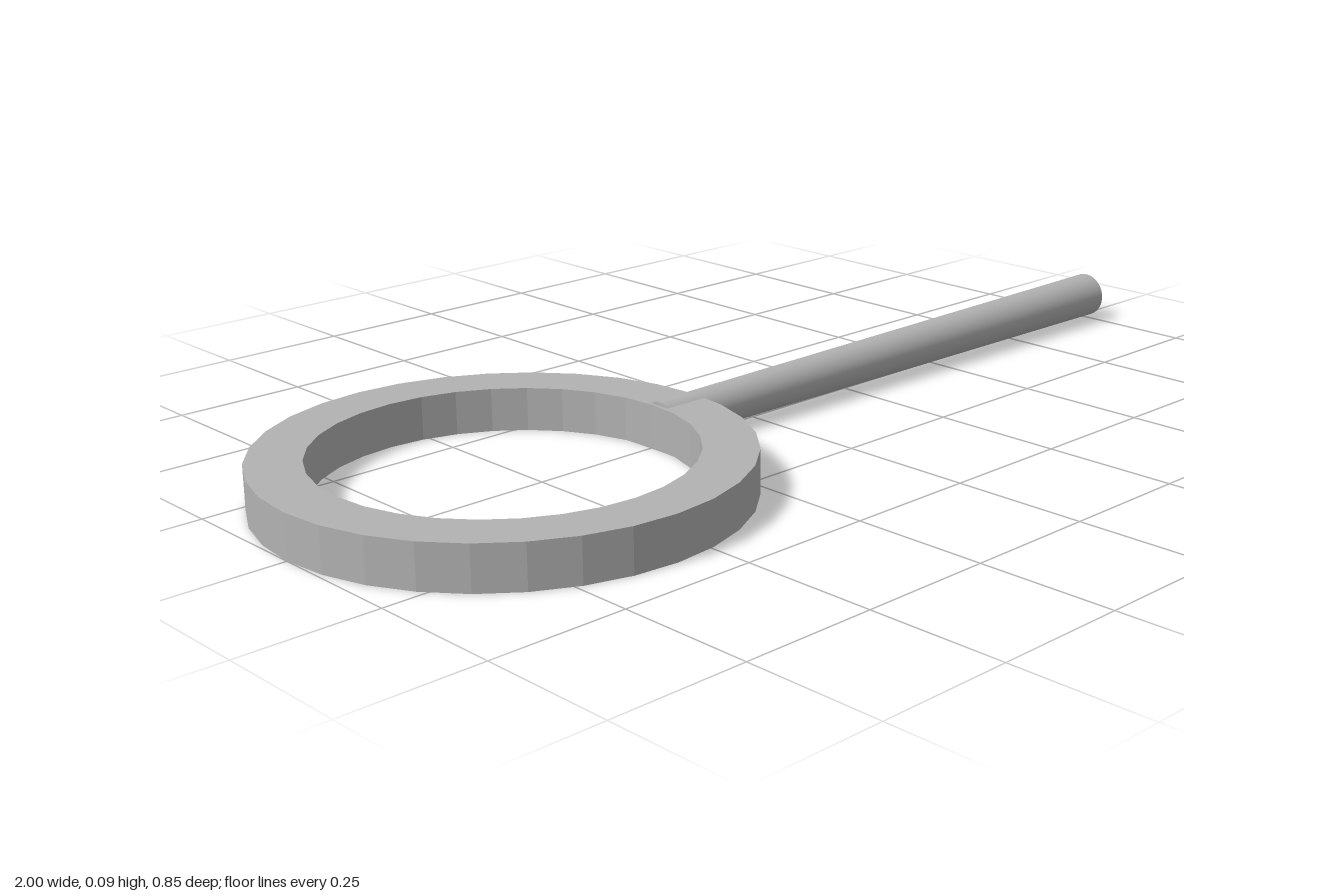
import * as THREE from 'three';

export function createModel() {
  const group = new THREE.Group();
  const grey = new THREE.MeshStandardMaterial({ color: 0xb2b2b2 });
  const facetedGrey = grey.clone();
  facetedGrey.flatShading = true;
  grey.name = 'smoothGrey';
  facetedGrey.name = 'facetedGrey';

  // Flat ring with a rectangular section, 32 facets
  const outer = 0.424, inner = 0.328, height = 0.08;
  const section = [[inner, 0], [outer, 0], [outer, height], [inner, height], [inner, 0]]
    .map(([r, y]) => new THREE.Vector2(r, y));
  const ring = new THREE.Mesh(new THREE.LatheGeometry(section, 32), facetedGrey);
  ring.name = 'ring';
  ring.position.x = -0.576;
  group.add(ring);

  // Slightly tapered round handle, running from the ring's inner edge to the right
  const start = -0.243, end = 1;
  const handleShape = new THREE.CylinderGeometry(0.0445, 0.037, end - start, 48);
  handleShape.rotateZ(-Math.PI / 2);
  const handle = new THREE.Mesh(handleShape, grey);
  handle.name = 'handle';
  handle.position.set((start + end) / 2, 0.05, 0.013);
  group.add(handle);

  return group;
}
